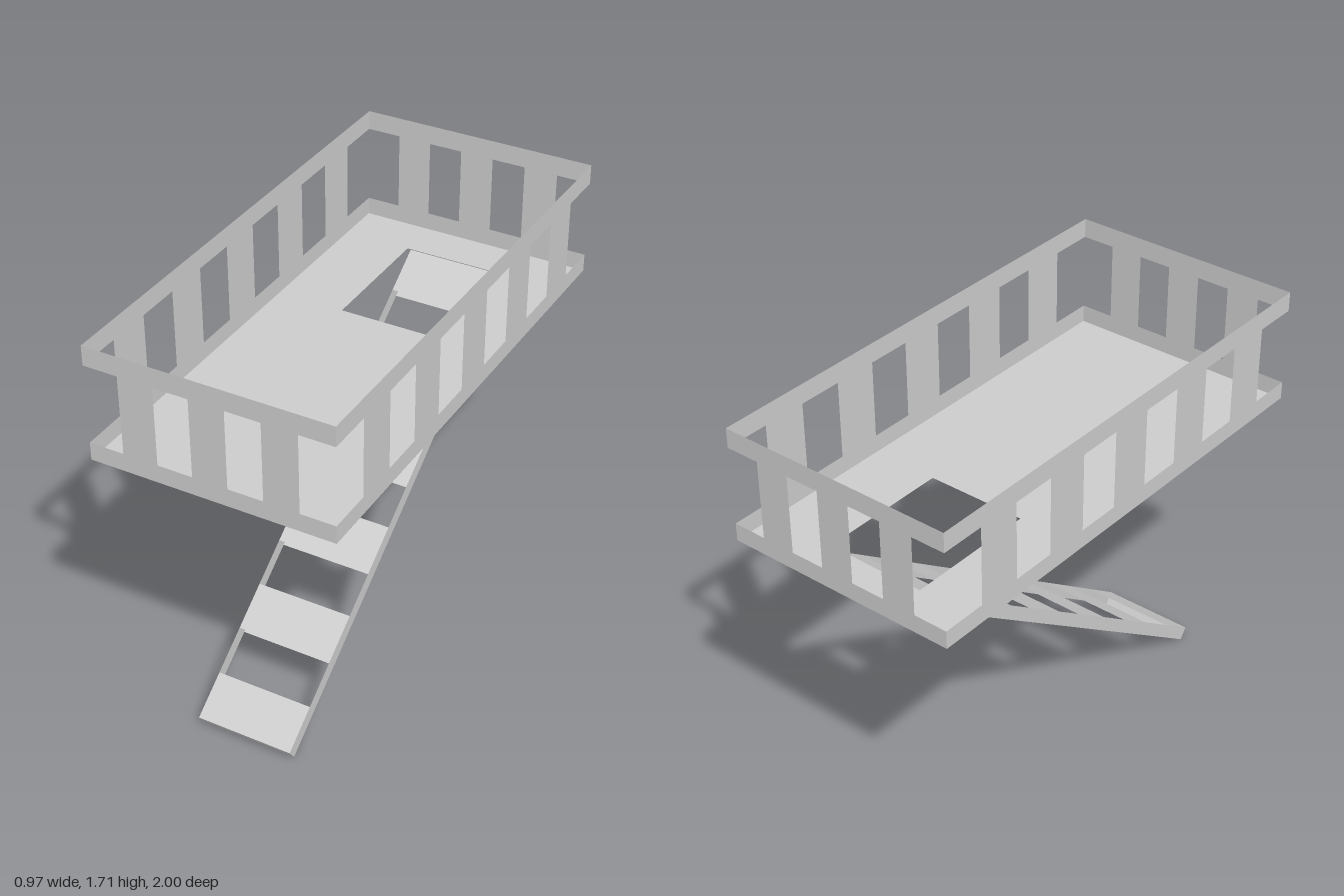
import * as THREE from 'three';

const material = new THREE.MeshStandardMaterial({ color: 0xcccccc, side: THREE.DoubleSide, flatShading: true });
const HALF_W = 0.485, HALF_L = 1;
const FLOOR = 1.24, LOW_RAIL = 1.312, HIGH_RAIL = 1.627, TOP = 1.706;

// Thin upright or flat sheet in the local xy plane, centred on (x, y)
function sheet(parent, name, w, h, x = 0, y = 0, z = 0) {
  const mesh = new THREE.Mesh(new THREE.PlaneGeometry(w, h), material);
  mesh.name = name;
  mesh.position.set(x, y, z);
  parent.add(mesh);
  return mesh;
}

// Railing: two rails joined by posts on every second segment
function railing(name, width, segments) {
  const group = new THREE.Group();
  group.name = name;
  sheet(group, 'lowerRail', width, LOW_RAIL - FLOOR, 0, (LOW_RAIL + FLOOR) / 2);
  sheet(group, 'upperRail', width, TOP - HIGH_RAIL, 0, (TOP + HIGH_RAIL) / 2);
  const step = width / segments;
  for (let i = 1; i < segments; i += 2) {
    sheet(group, 'post', step, HIGH_RAIL - LOW_RAIL, -width / 2 + (i + 0.5) * step, (HIGH_RAIL + LOW_RAIL) / 2);
  }
  return group;
}

// Deck floor with a rectangular hatch near the back
function deck() {
  const shape = new THREE.Shape();
  shape.moveTo(-HALF_W, -HALF_L).lineTo(HALF_W, -HALF_L).lineTo(HALF_W, HALF_L).lineTo(-HALF_W, HALF_L).closePath();
  const hatch = new THREE.Path();
  hatch.moveTo(-0.207, 0.273).lineTo(-0.207, 0.818).lineTo(0.207, 0.818).lineTo(0.207, 0.273).closePath();
  shape.holes.push(hatch);
  const mesh = new THREE.Mesh(new THREE.ShapeGeometry(shape), material);
  mesh.name = 'deck';
  mesh.rotation.x = -Math.PI / 2;
  mesh.position.y = FLOOR;
  return mesh;
}

// Ladder: thin side rails, hollow treads open towards the gaps, closed ends
function ladder() {
  const group = new THREE.Group();
  group.name = 'ladder';
  const length = 2.064, width = 0.398, thick = 0.055, segments = 11;
  const step = length / segments;
  for (let i = 0; i < segments; i += 2) {
    const y = -length / 2 + (i + 0.5) * step;
    sheet(group, 'treadTop', width, step, 0, y, thick / 2);
    sheet(group, 'treadBottom', width, step, 0, y, -thick / 2).rotation.y = Math.PI;
  }
  for (const s of [-1, 1]) {
    sheet(group, 'ladderSide', thick, length, s * width / 2).rotation.y = s * Math.PI / 2;
    sheet(group, 'ladderEnd', width, thick, 0, s * length / 2).rotation.x = -s * Math.PI / 2;
  }
  // Lean back so the top reaches the hatch
  group.rotation.x = -Math.atan2(1.69, 1.185);
  group.position.y = 0.615;
  return group;
}

export function createModel() {
  const model = new THREE.Group();
  model.name = 'deckWithLadder';
  model.add(deck(), ladder());

  const front = railing('frontRailing', HALF_W * 2, 7);
  front.position.z = HALF_L;
  const back = railing('backRailing', HALF_W * 2, 7);
  back.position.z = -HALF_L;
  back.rotation.y = Math.PI;
  model.add(front, back);

  for (const [name, s] of [['leftRailing', 1], ['rightRailing', -1]]) {
    const side = railing(name, HALF_L * 2, 11);
    side.position.x = s * HALF_W;
    side.rotation.y = s * Math.PI / 2;
    model.add(side);
  }
  return model;
}
